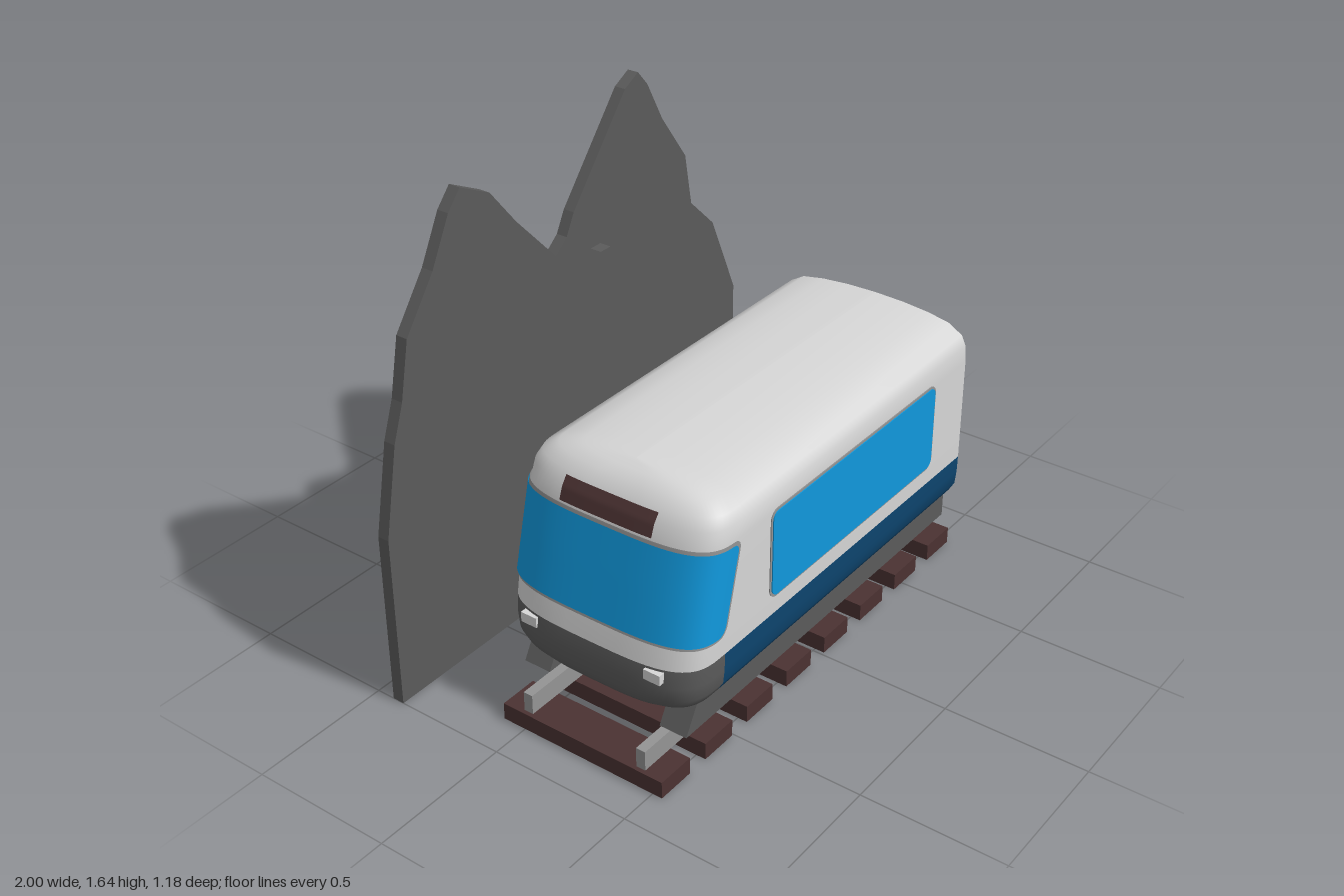
import * as THREE from 'three';

const mat = (name, color, extra = {}) => new THREE.MeshStandardMaterial({ name, color, ...extra });
const MID = 0.225;   // z of the train's centre line
const BACK = 0.745;  // x of the flat rear end
const N = 3.5;       // roundness of the nose in plan

// Body levels: height, half width, x of the nose tip
const LEVELS = [
  [0.224, 0, -0.70], [0.226, 0.1, -0.715], [0.231, 0.2, -0.74], [0.245, 0.29, -0.785],
  [0.265, 0.335, -0.80], [0.30, 0.355, -0.815], [0.35, 0.36, -0.818], [0.41, 0.361, -0.81],
  [0.49, 0.361, -0.79], [0.64, 0.361, -0.755], [0.785, 0.361, -0.72], [0.84, 0.357, -0.70],
  [0.875, 0.34, -0.675], [0.905, 0.29, -0.645], [0.92, 0.21, -0.61], [0.929, 0.11, -0.585], [0.932, 0, -0.57],
];

function level(y) {
  let i = 0;
  while (i < LEVELS.length - 2 && y > LEVELS[i + 1][0]) i++;
  const [a, b] = [LEVELS[i], LEVELS[i + 1]];
  const t = (y - a[0]) / (b[0] - a[0]);
  return { half: a[1] + (b[1] - a[1]) * t, tip: a[2] + (b[2] - a[2]) * t };
}
// x where the straight side turns into the nose; leans back above the sill
const shoulder = (y) => -0.62 + Math.max(0, y - 0.49) * 0.254;

// One level of the nose, from the +z side round to the -z side
function noseRow(y, maxAngle = Math.PI / 2, off = 0, steps = 32) {
  const { half, tip } = level(y);
  const a = shoulder(y);
  const row = [];
  for (let i = 0; i <= steps; i++) {
    const t = maxAngle * (1 - (2 * i) / steps);
    const c = Math.pow(Math.max(0, Math.cos(t)), 2 / N);
    const s = Math.sign(t) * Math.pow(Math.abs(Math.sin(t)), 2 / N);
    row.push([a - (a - tip + off) * c, y, MID + (half + off) * s]);
  }
  return row;
}

// Joins rows of points; pick(row, column) chooses the material group
function grid(rows, materials, pick = () => 0) {
  const w = rows[0].length;
  const lists = materials.map(() => []);
  for (let r = 0; r < rows.length - 1; r++) {
    for (let c = 0; c < w - 1; c++) {
      const a = r * w + c, b = a + w;
      lists[pick(r, c)].push(a, b, a + 1, a + 1, b, b + 1);
    }
  }
  const g = new THREE.BufferGeometry();
  g.setAttribute('position', new THREE.Float32BufferAttribute(rows.flat(2), 3));
  g.setIndex(lists.flat());
  let start = 0;
  lists.forEach((l, i) => { g.addGroup(start, l.length, i); start += l.length; });
  g.computeVertexNormals();
  return new THREE.Mesh(g, materials);
}

// Thin panel that follows the nose between two heights
function nosePanel(y0, y1, angleAt, off, material) {
  const rows = [];
  for (let i = 0; i <= 16; i++) {
    const y = y0 + (y1 - y0) * (0.5 - 0.5 * Math.cos((Math.PI * i) / 16));
    rows.push(noseRow(y, angleAt(y), off, 48));
  }
  return grid(rows, [material]);
}

function roundedRect(x0, y0, x1, y1, r) {
  const s = new THREE.Shape();
  s.absarc(x1 - r, y0 + r, r, -Math.PI / 2, 0);
  s.absarc(x1 - r, y1 - r, r, 0, Math.PI / 2);
  s.absarc(x0 + r, y1 - r, r, Math.PI / 2, Math.PI);
  s.absarc(x0 + r, y0 + r, r, Math.PI, Math.PI * 1.5);
  return s;
}

const extrude = (shape, depth) =>
  new THREE.ExtrudeGeometry(shape, { depth, bevelEnabled: false, curveSegments: 6 });
const polygon = (pts) => new THREE.Shape(pts.map(([x, y]) => new THREE.Vector2(x, y)));

export function createModel() {
  const model = new THREE.Group();
  model.name = 'trainScene';
  const white = mat('bodyWhite', 0xd6d6d6);
  const navy = mat('bodyNavy', 0x0d456f);
  const grey = mat('darkGrey', 0x5b5b5b);
  const glass = mat('windowBlue', 0x1098dc, { side: THREE.DoubleSide });
  const trim = mat('trimGrey', 0x949494, { side: THREE.DoubleSide });
  const brown = mat('darkBrown', 0x4b3232, { side: THREE.DoubleSide });

  const add = (name, mesh, x = 0, y = 0, z = 0, parent = model) => {
    mesh.name = name;
    mesh.position.set(x, y, z);
    parent.add(mesh);
    return mesh;
  };
  const box = (w, h, d, m) => new THREE.Mesh(new THREE.BoxGeometry(w, h, d), m);

  // Body shell: white above, navy skirt line below, dark grey nose bottom
  const shellRows = LEVELS.map(([y, half]) =>
    [[BACK, y, MID + half], ...noseRow(y), [BACK, y, MID - half]]);
  const last = shellRows[0].length - 2;
  add('bodyShell', grid(shellRows, [white, navy, grey], (r, c) =>
    LEVELS[r][0] >= 0.41 ? 0 : c === 0 || c === last ? 1 : 2));

  // Flat rear wall
  const wallRows = LEVELS.map(([y, half]) => [[BACK, y, MID - half], [BACK, y, MID + half]]);
  add('rearWall', grid(wallRows, [white, navy], (r) => (LEVELS[r][0] >= 0.41 ? 0 : 1)));

  // Wraparound windscreen with rounded rear corners, over its frame
  const wrap = (y0, y1, r, inset) => (y) => {
    const d = Math.max(0, r - Math.min(y - y0, y1 - y));
    const cut = inset + r - Math.sqrt(Math.max(0, r * r - d * d));
    return Math.acos(Math.pow(cut / (shoulder(y) - level(y).tip), N / 2));
  };
  add('windscreenFrame', nosePanel(0.48, 0.788, wrap(0.48, 0.788, 0.035, 0), 0.004, trim));
  add('windscreen', nosePanel(0.49, 0.778, wrap(0.49, 0.778, 0.028, 0.012), 0.007, glass));

  // Destination panel above the windscreen
  add('destinationPanel', nosePanel(0.8, 0.87,
    (y) => Math.asin(Math.pow(0.165 / level(y).half, N / 2)), 0.012, brown));

  for (const s of [1, -1]) {
    // Side window and frame
    const side = MID + s * 0.361;
    add('sideWindowFrame', new THREE.Mesh(extrude(roundedRect(-0.395, 0.472, 0.55, 0.79, 0.035), 0.006), trim), 0, 0, side - 0.003);
    add('sideWindow', new THREE.Mesh(extrude(roundedRect(-0.387, 0.48, 0.542, 0.782, 0.028), 0.009), glass), 0, 0, side + s * 0.002 - 0.0045);

    // Headlight
    add('headlight', box(0.03, 0.035, 0.06, white), -0.798, 0.385, MID + s * 0.235);

    // Lower skirt beside the wheels, with a slanted front
    const skirt = polygon([[-0.75, 0.155], [BACK, 0.155], [BACK, 0.28], [-0.68, 0.28]]);
    add('skirt', new THREE.Mesh(extrude(skirt, 0.1), grey), 0, 0, MID + s * 0.265 - 0.05);

    // Rail
    add('rail', box(1.65, 0.07, 0.034, trim), -0.025, 0.095, MID + s * 0.22);

    // Wheels
    for (let i = 0; i < 4; i++) {
      const wheel = new THREE.Group();
      const disc = (r, t, m) => new THREE.Mesh(new THREE.CylinderGeometry(r, r, t, 28).rotateX(Math.PI / 2), m);
      add('wheelFlange', disc(0.1, 0.018, brown), 0, 0, 0, wheel);
      add('wheelHub', disc(0.06, 0.05, grey), 0, 0, s * 0.012, wheel);
      add('wheel', wheel, -0.5 + i * 0.36, 0.175, MID + s * 0.19);
    }
  }

  // Sleepers
  for (let i = 0; i < 8; i++) add('sleeper', box(0.14, 0.06, 0.62, brown), -0.795 + i * 0.2193, 0.03, MID);

  // Two flat mountain cutouts behind the track
  const nearMountain = polygon([
    [-1, 0], [0.59, 0], [0.59, 0.76], [0.41, 0.93], [0.09, 1.18], [0.04, 1.18], [-0.065, 1.085],
    [-0.14, 1.18], [-0.18, 1.25], [-0.36, 1.44], [-0.47, 1.575], [-0.595, 1.637], [-0.65, 1.575],
    [-0.73, 1.42], [-0.855, 1.25], [-0.895, 1.055], [-0.94, 0.93], [-1, 0.62],
  ]);
  const farMountain = polygon([
    [-0.59, 0], [1, 0], [1, 0.62], [0.865, 0.93], [0.735, 1.055], [0.7, 1.25], [0.57, 1.43],
    [0.49, 1.58], [0.44, 1.637], [0.37, 1.6], [0.09, 1.26], [0.05, 1.185], [-0.035, 1.115],
    [-0.14, 1.18], [-0.18, 1.18], [-0.59, 0.76],
  ]);
  add('nearMountain', new THREE.Mesh(extrude(nearMountain, 0.042), grey), 0, 0, -0.434);
  add('farMountain', new THREE.Mesh(extrude(farMountain, 0.042), grey), 0, 0, -0.586);

  return model;
}
